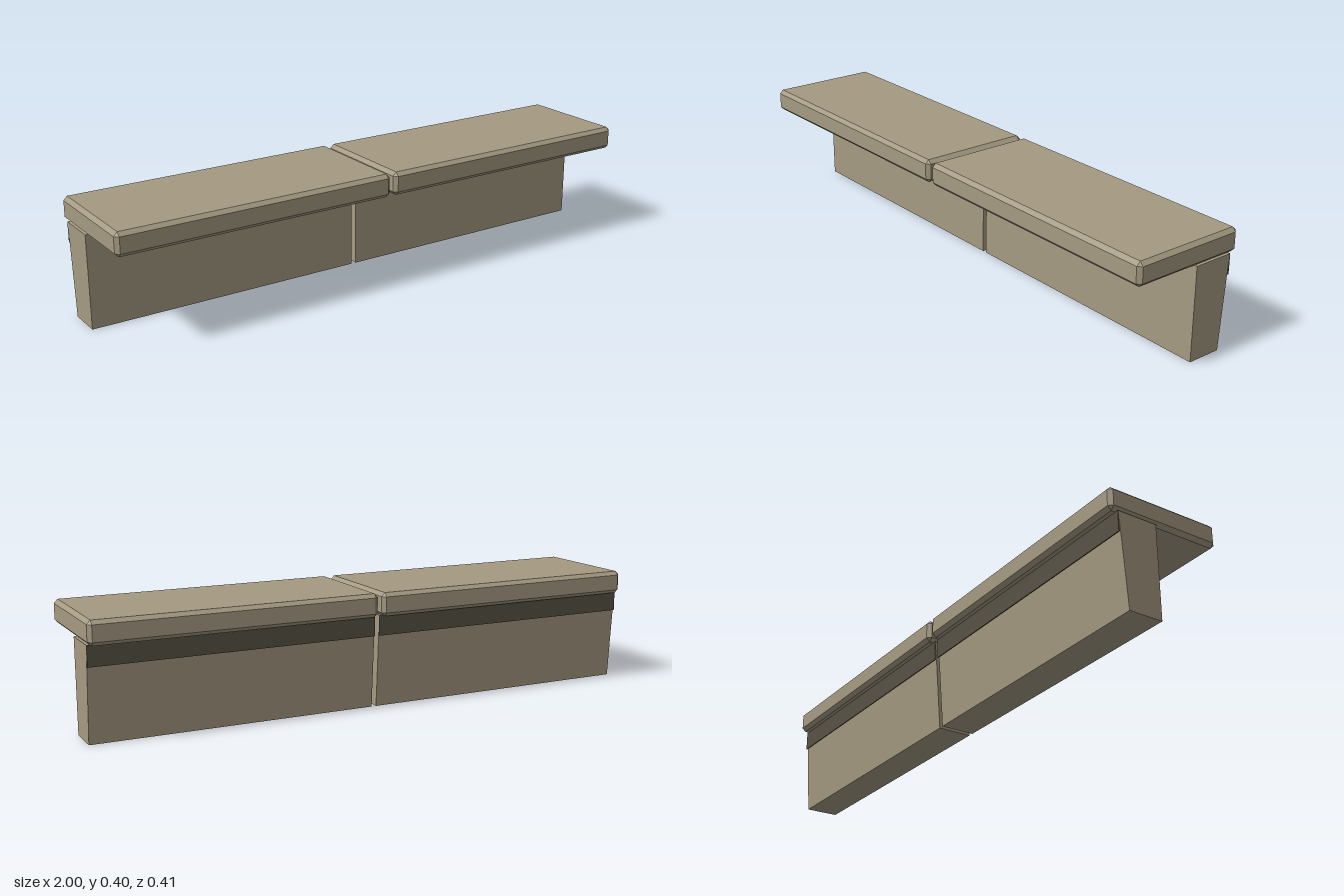
import * as THREE from 'three';
import { ConvexGeometry } from 'three/addons/geometries/ConvexGeometry.js';

// Box with all twelve edges chamfered: the hull of its six inset faces
function chamferedBox(w, h, d, c) {
  const half = [w / 2, h / 2, d / 2];
  const points = [];
  for (const sx of [-1, 1]) for (const sy of [-1, 1]) for (const sz of [-1, 1]) {
    for (let axis = 0; axis < 3; axis++) {
      const p = [sx, sy, sz].map((s, i) => s * (half[i] - (i === axis ? 0 : c)));
      points.push(new THREE.Vector3(...p));
    }
  }
  return new ConvexGeometry(points);
}

export function createModel() {
  const stone = new THREE.MeshStandardMaterial({ color: 0xa59a82 });
  stone.name = 'stone';
  const darkStrip = new THREE.MeshStandardMaterial({ color: 0x565144 });
  darkStrip.name = 'darkStrip';

  const model = new THREE.Group();
  model.name = 'bench';

  // Wall profile, drawn with shape x = -z: upright front, back leaning outward
  const profile = new THREE.Shape([
    new THREE.Vector2(0.034, 0),
    new THREE.Vector2(0.154, 0),
    new THREE.Vector2(0.176, 0.322),
    new THREE.Vector2(0.034, 0.322),
  ]);
  const length = 0.99;
  const wallGeometry = new THREE.ExtrudeGeometry(profile, { depth: length, bevelEnabled: false });
  wallGeometry.translate(0, 0, -length / 2).rotateY(Math.PI / 2);

  const slabGeometry = chamferedBox(0.993, 0.081, 0.412, 0.013);
  const stripGeometry = new THREE.BoxGeometry(length, 0.07, 0.003);

  // Two equal sections with a narrow joint between them
  for (const side of [-1, 1]) {
    const section = new THREE.Group();
    section.name = side < 0 ? 'rightSection' : 'leftSection';
    section.position.x = side * 0.5035;

    const wall = new THREE.Mesh(wallGeometry, stone);
    wall.name = 'wall';

    const slab = new THREE.Mesh(slabGeometry, stone);
    slab.name = 'seatSlab';
    slab.position.y = 0.3615;

    // Dark plate under the back overhang
    const strip = new THREE.Mesh(stripGeometry, darkStrip);
    strip.name = 'backStrip';
    strip.position.set(0, 0.287, -0.1765);

    section.add(wall, slab, strip);
    model.add(section);
  }
  return model;
}
